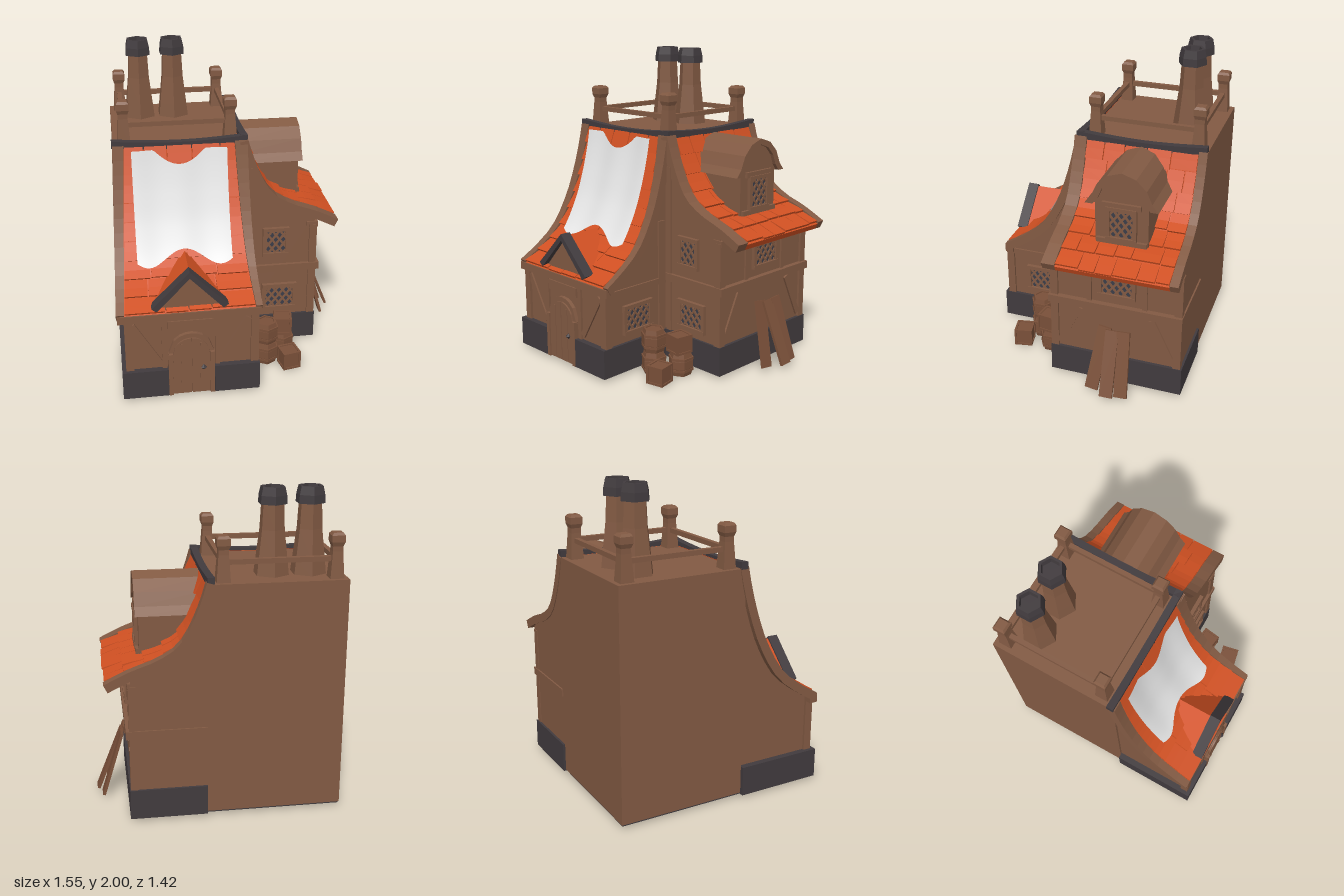
import * as THREE from 'three';

const mat = (name, color) => Object.assign(new THREE.MeshStandardMaterial({ color }), { name });
const V2 = (p) => new THREE.Vector2(p[0], p[1]);

export function createModel() {
  const brown = mat('timber brown', 0x825a43), orange = mat('tile orange', 0xd05022);
  const dark = mat('stone charcoal', 0x413b3e), white = mat('canvas white', 0xe8e8e8);
  const pane = mat('window slate', 0x3b3d48), wood = mat('loose wood', 0x7a5039);
  white.side = THREE.DoubleSide;

  let seed = 7;
  const rnd = () => (seed = (seed * 16807) % 2147483647) / 2147483647;
  const root = new THREE.Group();
  const group = (name, ry = 0, parent = root) => {
    const g = new THREE.Group();
    g.name = name; g.rotation.y = ry; parent.add(g);
    return g;
  };
  // faceted mesh
  const add = (parent, name, geo, m, x = 0, y = 0, z = 0) => {
    const g = geo.index ? geo.toNonIndexed() : geo;
    g.computeVertexNormals();
    const mesh = new THREE.Mesh(g, m);
    mesh.name = name; mesh.position.set(x, y, z); parent.add(mesh);
    return mesh;
  };
  // box given by its limits
  const box = (p, name, m, x0, x1, y0, y1, z0, z1) =>
    add(p, name, new THREE.BoxGeometry(x1 - x0, y1 - y0, z1 - z0), m, (x0 + x1) / 2, (y0 + y1) / 2, (z0 + z1) / 2);
  // slanted bar lying in an xy plane
  const bar = (p, name, m, x0, y0, x1, y1, w, d, z) => {
    const b = add(p, name, new THREE.BoxGeometry(Math.hypot(x1 - x0, y1 - y0), w, d), m, (x0 + x1) / 2, (y0 + y1) / 2, z);
    b.rotation.z = Math.atan2(y1 - y0, x1 - x0);
    return b;
  };
  const prism = (p, name, m, pts, z0, z1) =>
    add(p, name, new THREE.ExtrudeGeometry(new THREE.Shape(pts.map(V2)), { depth: z1 - z0, bevelEnabled: false }), m, 0, 0, z0);
  const lathe = (p, name, m, pts, sides, x, y, z, phi = 0) =>
    add(p, name, new THREE.LatheGeometry(pts.map(V2), sides, phi), m, x, y, z);

  // strip following a [z, y] path, with width range(t) and top offset off(t)
  const sweep = (path, range, off, thick) => {
    const n = path.length - 1, rings = path.map((q, i) => {
      const a = path[Math.max(i - 1, 0)], b = path[Math.min(i + 1, n)];
      const l = Math.hypot(b[0] - a[0], b[1] - a[1]), nz = (a[1] - b[1]) / l, ny = (b[0] - a[0]) / l;
      const [xa, xb] = range(i / n), o = off(i / n), u = o - thick;
      return [[xa, o], [xb, o], [xb, u], [xa, u]].map(([x, d]) => [x, q[1] + ny * d, q[0] + nz * d]);
    });
    const pos = [], quad = (a, b, c, d) => pos.push(...a, ...b, ...c, ...a, ...c, ...d);
    quad(...rings[0]);
    for (let i = 0; i < n; i++) for (let k = 0; k < 4; k++) {
      const j = (k + 1) % 4;
      quad(rings[i][k], rings[i + 1][k], rings[i + 1][j], rings[i][j]);
    }
    quad(...[...rings[n]].reverse());
    return new THREE.BufferGeometry().setAttribute('position', new THREE.Float32BufferAttribute(pos, 3));
  };
  const sampler = (pts) => {
    const c = new THREE.CatmullRomCurve3(pts.map(([z, y]) => new THREE.Vector3(0, y, z)));
    return (t) => { const v = c.getPointAt(t); return [v.z, v.y]; };
  };
  const steps = (at, a, b, n) => Array.from({ length: n + 1 }, (_, i) => at(a + (b - a) * i / n));

  // curved roof: solid wall below, edge trims and uneven rows of tiles
  const roof = (p, at, top, bottom, wall, rows, cols) => {
    const path = steps(at, 0, 1, 12);
    const mix = (a, b) => (t) => [0, 1].map((k) => top[a + k] + (bottom[a + k] - top[a + k]) * t) && 
      [top[a] + (bottom[a] - top[a]) * t, top[b] + (bottom[b] - top[b]) * t];
    add(p, 'roofTrim', sweep(path, mix(0, 1), () => 0.015, 0.055), brown);
    add(p, 'roofTrim', sweep(path, mix(2, 3), () => 0.015, 0.055), brown);
    const inner = mix(1, 2);
    add(p, 'roofBed', sweep(path, inner, () => 0, 0.04), orange);
    const under = path.filter(([z]) => z < wall.z - 0.02).map(([z, y]) => [z - 0.01, y - 0.02]);
    const g = new THREE.ExtrudeGeometry(new THREE.Shape(
      [[0, 0.05], [wall.z, 0.05], [wall.z, wall.y], ...under.reverse(), [0, 1.45]].map(V2)),
    { depth: wall.x1 - wall.x0, bevelEnabled: false }).rotateY(-Math.PI / 2);
    add(p, 'wall', g, brown, wall.x1);
    for (let r = 0; r < rows; r++) {
      const a = r / rows, b = Math.min((r + 1) / rows + 0.004, 1);
      let u = 0;
      while (u < 1) {
        let v = u + (0.7 + rnd() * 0.6) / cols;
        if (v > 1 - 0.4 / cols) v = 1;
        const u0 = u + 0.005, v0 = v - 0.005, lift = 0.012 + rnd() * 0.009;
        add(p, 'roofTile', sweep(steps(at, a, b - 0.012 * rnd(), 2), (t) => {
          const [x0, x1] = inner(a + (b - a) * t), w = x1 - x0;
          return [x0 + w * u0, x0 + w * v0];
        }, (t) => 0.004 + lift * t, 0.015), orange);
        u = v;
      }
    }
  };

  // framed window with a diamond lattice, facing +z
  const win = (p, cx, cy, w, h, z) => {
    const g = group('window', 0, p), a = w / 2, b = h / 2, f = 0.025, k = 1.3;
    g.position.set(cx, cy, z);
    box(g, 'pane', pane, -a, a, -b, b, 0, 0.008);
    for (const s of [-1, 1]) {
      box(g, 'frameSide', brown, s * a - f / 2, s * a + f / 2, -b, b, 0, 0.022);
      box(g, 'frameRail', brown, -a - f / 2, a + f / 2, s * b - f / 2, s * b + f / 2, 0, 0.026);
      for (let c = -(k * a + b) + 0.04; c < k * a + b; c += 0.065) {
        const x0 = Math.max(-a, (-b - c) / k), x1 = Math.min(a, (b - c) / k);
        if (x1 - x0 > 0.01) bar(g, 'lattice', brown, s * x0, k * x0 + c, s * x1, k * x1 + c, 0.014, 0.008, 0.01);
      }
    }
  };

  // core tower and foundations
  box(root, 'tower', brown, -0.735, 0.1, 0.03, 1.48, -0.69, 0.14);
  box(root, 'towerBase', dark, -0.73, 0.1, 0.02, 0.04, -0.685, 0.14);
  box(root, 'frontFoundation', dark, -0.76, 0.1, 0.02, 0.21, 0.14, 0.685);
  box(root, 'frontFoundation', dark, -0.76, -0.475, 0.02, 0.21, 0.68, 0.705);
  box(root, 'frontFoundation', dark, -0.185, 0.1, 0.02, 0.21, 0.68, 0.705);
  box(root, 'wingFoundation', dark, 0.1, 0.575, 0.02, 0.21, -0.705, 0.165);

  // front range
  const front = group('frontRange');
  const frontAt = sampler([[0.14, 1.49], [0.165, 1.36], [0.21, 1.19], [0.28, 1], [0.4, 0.8], [0.53, 0.69], [0.675, 0.6]]);
  roof(front, frontAt, [-0.74, -0.67, 0.02, 0.1], [-0.78, -0.73, 0.075, 0.115],
    { x0: -0.72, x1: 0.08, z: 0.665, y: 0.58 }, 9, 4);
  box(front, 'eavesBeam', brown, -0.775, 0.11, 0.55, 0.6, 0.63, 0.685);
  for (const x of [-0.735, 0.045]) box(front, 'cornerPost', brown, x, x + 0.05, 0.2, 0.56, 0.63, 0.682);
  for (const s of [-1, 1]) {
    const X = (d) => -0.33 + s * d;
    bar(front, 'brace', brown, X(0.36), 0.53, X(0.19), 0.24, 0.04, 0.02, 0.667);
    bar(front, 'doorPost', brown, X(0.165), 0.2, X(0.165), 0.56, 0.03, 0.02, 0.67);
  }
  box(front, 'doorLintel', brown, -0.47, -0.19, 0.48, 0.545, 0.66, 0.685);

  // arched door with two leaves
  const arch = (r, x0, x1) => {
    const pts = [[x0, 0.025]];
    for (let i = 0; i <= 8; i++) {
      const x = x1 + (x0 - x1) * i / 8;
      if (i === 0) pts.push([x1, 0.025]);
      pts.push([x, 0.31 + Math.sqrt(Math.max(0, r * r - (x + 0.33) ** 2))]);
    }
    return pts;
  };
  prism(front, 'doorFrame', brown, arch(0.145, -0.475, -0.185), 0.66, 0.69);
  prism(front, 'doorLeaf', brown, arch(0.115, -0.445, -0.333), 0.67, 0.7);
  prism(front, 'doorLeaf', brown, arch(0.115, -0.327, -0.215), 0.67, 0.7);
  for (const x of [-0.46, -0.2]) box(front, 'doorJamb', brown, x - 0.014, x + 0.014, 0.02, 0.32, 0.66, 0.708);
  for (const x of [-0.39, -0.27]) box(front, 'doorBatten', brown, x - 0.006, x + 0.006, 0.04, 0.39, 0.7, 0.704);
  lathe(front, 'doorKnob', dark, [[0, -0.02], [0.02, 0], [0, 0.02]], 6, -0.255, 0.21, 0.7);

  // porch gable
  const chevron = (w, y0, y1, t) => [[-0.33 - w, y0], [-0.33 - w + t, y0 - t * 0.8], [-0.33, y1 - t * 1.45],
    [-0.33 + w - t, y0 - t * 0.8], [-0.33 + w, y0], [-0.33, y1]].reverse();
  prism(front, 'gableWall', brown, [[-0.53, 0.61], [-0.13, 0.61], [-0.33, 0.83]], 0.35, 0.655);
  prism(front, 'gableRoof', orange, chevron(0.22, 0.645, 0.86, 0.03), 0.33, 0.62);
  prism(front, 'gableTrim', dark, chevron(0.235, 0.64, 0.875, 0.03), 0.61, 0.682);

  // canvas sheet draped on the front roof
  const lookup = steps(frontAt, 0, 1, 80);
  const zAt = (y) => {
    const i = Math.min(79, Math.max(0, lookup.findIndex((q) => q[1] < y) - 1)), [a, b] = [lookup[i], lookup[i + 1]];
    return a[0] + (b[0] - a[0]) * (y - a[1]) / (b[1] - a[1]);
  };
  const cloth = new THREE.PlaneGeometry(1, 1, 32, 24), cp = cloth.attributes.position;
  for (let i = 0; i < cp.count; i++) {
    const x = -0.33 + cp.getX(i) * 0.595, v = cp.getY(i) + 0.5, d = Math.abs(x + 0.33);
    const hi = Math.min(1.465, 1.375 + 0.09 * (d / 0.16) ** 2), lo = 0.835 + 0.045 * Math.cos(d / 0.22 * Math.PI);
    const y = lo + (hi - lo) * v;
    cp.setXYZ(i, x, y, zAt(y) + 0.032 + 0.005 * Math.cos(d * 22));
  }
  cloth.computeVertexNormals();
  const sheet = new THREE.Mesh(cloth, white);
  sheet.name = 'canvasSheet'; front.add(sheet);

  // side wall of the front range
  const side = group('frontRangeSide', Math.PI / 2);
  win(side, -0.41, 0.36, 0.22, 0.17, 0.08);
  box(side, 'post', brown, -0.22, -0.165, 0.2, 0.95, 0.06, 0.092);
  box(side, 'rail', brown, -0.66, -0.16, 0.53, 0.57, 0.06, 0.092);

  // side wing: local z points to world +x
  const wing = group('sideWing', Math.PI / 2);
  const wingAt = sampler([[0.09, 1.49], [0.13, 1.36], [0.2, 1.2], [0.27, 1.1], [0.4, 1.02], [0.55, 0.965], [0.705, 0.89]]);
  roof(wing, wingAt, [-0.16, -0.08, 0.64, 0.695], [-0.16, -0.075, 0.64, 0.695],
    { x0: -0.15, x1: 0.69, z: 0.555, y: 0.94 }, 7, 5);
  box(wing, 'midBeam', brown, -0.172, 0.7, 0.55, 0.6, 0.1, 0.59);
  box(wing, 'topBeam', brown, -0.16, 0.69, 0.86, 0.9, 0.5, 0.575);
  for (const x of [-0.163, 0.645]) box(wing, 'cornerPost', brown, x, x + 0.05, 0.2, 0.88, 0.52, 0.57);
  for (const x of [0.08, 0.44]) box(wing, 'stud', brown, x, x + 0.03, 0.6, 0.87, 0.54, 0.567);
  bar(wing, 'brace', brown, -0.11, 0.24, 0.03, 0.53, 0.04, 0.02, 0.558);
  bar(wing, 'brace', brown, 0.64, 0.24, 0.5, 0.53, 0.04, 0.02, 0.558);
  win(wing, 0.275, 0.74, 0.22, 0.15, 0.555);
  win(root, 0.325, 0.355, 0.21, 0.17, 0.15);
  win(root, 0.295, 0.77, 0.15, 0.18, 0.15);
  box(root, 'wingPost', brown, 0.1, 0.14, 0.2, 1.3, 0.13, 0.162);

  // dormer with a barrel roof
  const outer = [[-0.23, 1.25], [-0.19, 1.3], [-0.155, 1.38], [-0.09, 1.445], [0, 1.475],
    [0.09, 1.445], [0.155, 1.38], [0.19, 1.3], [0.23, 1.25]].map(([x, y]) => [x + 0.28, y]);
  const inner = outer.map(([x, y]) => [0.28 + (x - 0.28) * 0.78, 1.25 + (y - 1.25) * 0.83]);
  prism(wing, 'dormerRoof', brown, [...outer, ...inner.reverse()], 0.05, 0.508);
  prism(wing, 'dormerGable', brown, inner, 0.05, 0.485);
  box(wing, 'dormerBody', brown, 0.11, 0.445, 0.95, 1.27, 0.05, 0.485);
  box(wing, 'dormerLintel', brown, 0.155, 0.4, 1.235, 1.27, 0.48, 0.503);
  box(wing, 'dormerSill', brown, 0.12, 0.44, 0.995, 1.025, 0.48, 0.505);
  win(wing, 0.278, 1.13, 0.17, 0.2, 0.485);

  // sagging dark edge of the roof deck
  const edge = (ry, x0, x1, z) => {
    const w = x1 - x0, g = new THREE.BoxGeometry(w, 0.045, 0.045, 10, 1, 1), q = g.attributes.position;
    for (let i = 0; i < q.count; i++) q.setY(i, q.getY(i) - 0.022 * Math.cos(q.getX(i) / w * Math.PI));
    add(group('deckEdge', ry), 'deckEdge', g, dark, (x0 + x1) / 2, 1.5, z);
  };
  edge(0, -0.745, 0.103, 0.125);
  edge(Math.PI / 2, -0.145, 0.69, 0.08);

  // deck railing and posts
  for (const x of [-0.665, 0.003]) {
    box(root, 'railing', brown, x - 0.015, x + 0.015, 1.58, 1.61, -0.62, 0.05);
    for (const z of [-0.62, 0.045]) lathe(root, 'railPost', brown, [[0, 0], [0.06, 0], [0.043, 0.17], [0.043, 0.2],
      [0.056, 0.225], [0.056, 0.265], [0.04, 0.28], [0, 0.28]], 4, x, 1.47, z, Math.PI / 4);
  }
  for (const z of [-0.62, 0.045]) box(root, 'railing', brown, -0.665, 0.003, 1.58, 1.61, z - 0.015, z + 0.015);

  // chimneys
  for (const x of [-0.535, -0.31]) {
    lathe(root, 'chimney', brown, [[0.112, 0], [0.1, 0.1], [0.078, 0.28], [0.07, 0.44]], 6, x, 1.47, -0.48);
    lathe(root, 'chimneyCap', dark, [[0, 0], [0.09, 0], [0.087, 0.05], [0.075, 0.1], [0.058, 0.1], [0.055, 0.06], [0, 0.06]], 6, x, 1.9, -0.48);
  }

  // barrels and crates
  const barrel = (x, y, z) => {
    const g = group('barrel', 0.3);
    g.rotation.y = 0; g.position.set(x, y, z);
    lathe(g, 'barrelBody', wood, [[0, 0], [0.066, 0], [0.08, 0.05], [0.08, 0.1], [0.066, 0.15], [0.055, 0.15], [0.055, 0.142], [0, 0.142]], 6, 0, 0, 0);
    for (const h of [0.03, 0.105]) lathe(g, 'hoop', wood, [[0.074, 0], [0.083, 0], [0.083, 0.016], [0.074, 0.016]], 6, 0, h, 0);
  };
  barrel(0.2, 0, 0.375); barrel(0.2, 0.153, 0.375); barrel(0.33, 0, 0.26);
  const crate = (x, y, z, ry) => {
    const g = group('crate', ry), e = 0.053;
    g.position.set(x, y + 0.06, z);
    add(g, 'crateCore', new THREE.BoxGeometry(0.108, 0.108, 0.108), wood);
    for (const s of [-e, e]) for (const t of [-e, e]) {
      add(g, 'crateSlat', new THREE.BoxGeometry(0.12, 0.014, 0.014), wood, 0, s, t);
      add(g, 'crateSlat', new THREE.BoxGeometry(0.014, 0.12, 0.014), wood, s, 0, t);
      add(g, 'crateSlat', new THREE.BoxGeometry(0.014, 0.014, 0.12), wood, s, t, 0);
    }
  };
  crate(0.33, 0.152, 0.275, -0.15); crate(0.34, 0.005, 0.46, 0.2);

  // planks leaning on the wing
  for (const [x, z, tilt, lean] of [[0.18, 0.64, -0.13, 0.27], [0.265, 0.68, 0.02, 0.38], [0.345, 0.665, 0.05, 0.3]]) {
    const b = add(wing, 'plank', new THREE.BoxGeometry(0.085, 0.43, 0.018), wood, x, 0.23, z);
    b.rotation.set(-lean, 0, tilt);
  }
  return root;
}
